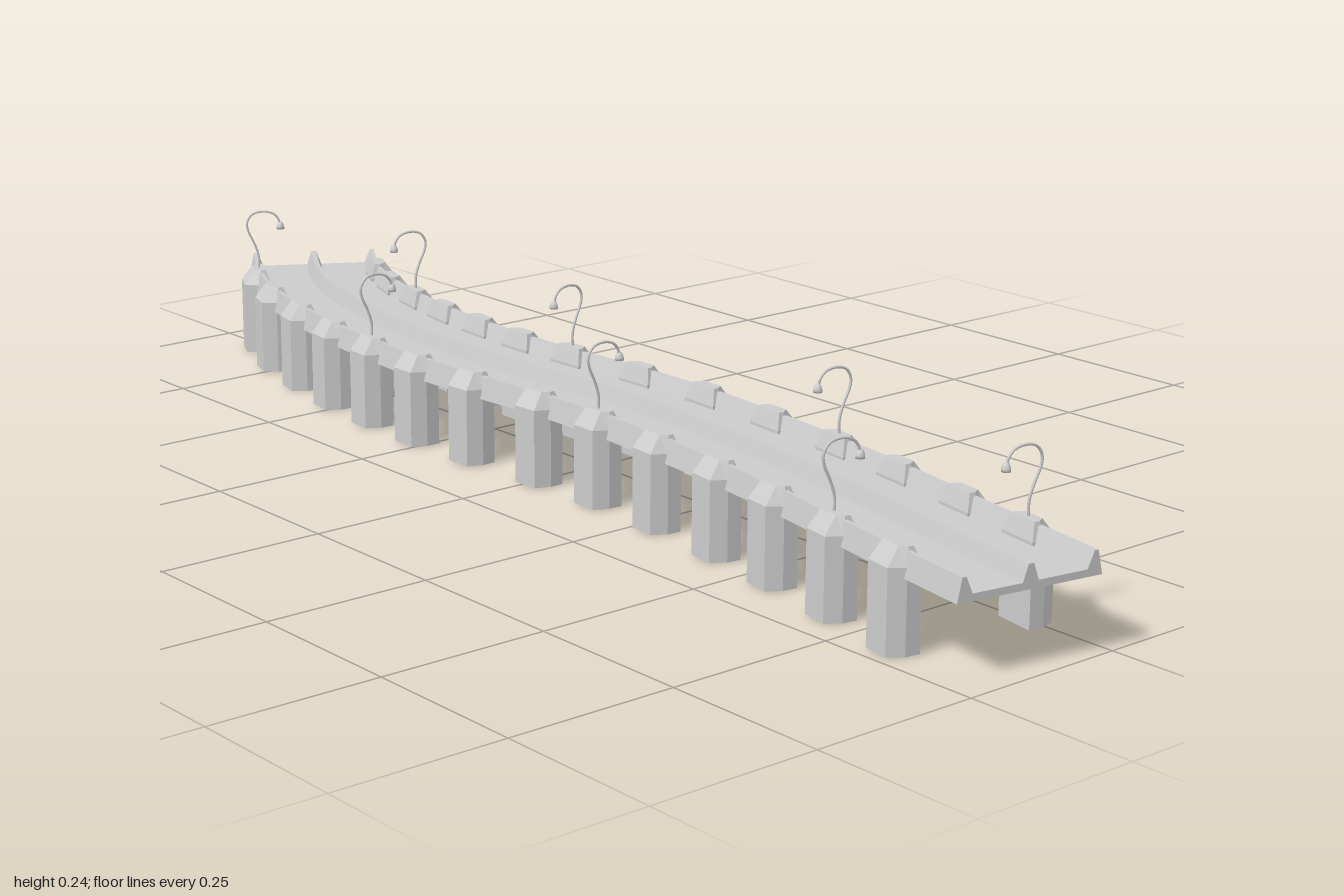
import * as THREE from 'three';

// Centre line from back to front: [x, z]; every inner point carries a pair of piers
const PATH = [
  [0.14, -0.943], [0.08, -0.84], [0.037, -0.735], [0.008, -0.62], [-0.013, -0.505],
  [-0.024, -0.39], [-0.029, -0.273], [-0.025, -0.148], [-0.014, 0], [-0.012, 0.14],
  [-0.021, 0.285], [-0.036, 0.43], [-0.055, 0.565], [-0.08, 0.705], [-0.104, 0.84],
  [-0.126, 0.975],
];
const LAST = PATH.length - 1;
const LEFT_LAMPS = [1, 5, 9, 13]; // on the -x side
const RIGHT_LAMPS = [3, 7, 11, 14]; // on the +x side

const material = (options) => new THREE.MeshStandardMaterial({ color: 0xcccccc, ...options });

// Deck: two channels between three low walls, extruded and bent along the path
function makeDeck(curve, mat) {
  const half = [[0.11, 0.102], [0.103, 0.135], [0.097, 0.135], [0.087, 0.112], [0.012, 0.112], [0.004, 0.135]];
  const mirrored = half.map(([x, y]) => [-x, y]).reverse();
  const shape = new THREE.Shape([...half, ...mirrored].map(([x, y]) => new THREE.Vector2(x, y)));
  const geo = new THREE.ExtrudeGeometry(shape, { depth: 1, steps: 75, bevelEnabled: false });
  const pos = geo.attributes.position;
  for (let i = 0; i < pos.count; i++) {
    const t = THREE.MathUtils.clamp(pos.getZ(i), 0, 1);
    const p = curve.getPoint(t);
    const d = curve.getTangent(t);
    const s = pos.getX(i);
    pos.setXYZ(i, p.x + d.z * s, pos.getY(i), p.z - d.x * s);
  }
  geo.computeVertexNormals();
  const deck = new THREE.Mesh(geo, mat);
  deck.name = 'deck';
  return deck;
}

// Pier: hollow six-sided shaft whose tapered head wraps the outer wall
function makePierGeometry() {
  const ring = (y, inner, mid, outer, wide, narrow) => [
    [inner, y, wide], [mid, y, wide], [outer, y, narrow],
    [outer, y, -narrow], [mid, y, -wide], [inner, y, -wide],
  ];
  const rings = [
    ring(0, 0.084, 0.106, 0.128, 0.032, 0.021),
    ring(0.116, 0.084, 0.106, 0.128, 0.032, 0.021),
    ring(0.14, 0.092, 0.1, 0.11, 0.024, 0.017),
  ];
  const n = 6;
  const index = [];
  for (let r = 0; r < rings.length - 1; r++) {
    for (let i = 0; i < n; i++) {
      const a = r * n + i;
      const b = r * n + ((i + 1) % n);
      index.push(a, b, b + n, a, b + n, a + n);
    }
  }
  const top = (rings.length - 1) * n;
  for (let i = 1; i < n - 1; i++) index.push(top, top + i, top + i + 1);
  const geo = new THREE.BufferGeometry();
  geo.setAttribute('position', new THREE.Float32BufferAttribute(rings.flat(2), 3));
  geo.setIndex(index);
  geo.computeVertexNormals();
  return geo;
}

// Lamp: thin swan-neck post with a small domed head hanging over the deck
function makeLampParts() {
  const neck = new THREE.CatmullRomCurve3([
    [0.101, 0.136], [0.101, 0.16], [0.108, 0.182], [0.117, 0.202], [0.119, 0.216],
    [0.111, 0.23], [0.094, 0.235], [0.075, 0.231], [0.066, 0.221], [0.064, 0.212],
  ].map(([x, y]) => new THREE.Vector3(x, y, 0)));
  const post = new THREE.TubeGeometry(neck, 28, 0.002, 6);
  const head = new THREE.LatheGeometry([
    [0, -0.008], [0.0065, -0.007], [0.0065, -0.003], [0.0045, 0.003], [0, 0.006],
  ].map(([x, y]) => new THREE.Vector2(x, y)), 10);
  head.translate(0.063, 0.211, 0);
  return { post, head };
}

export function createModel() {
  const model = new THREE.Group();
  model.name = 'bridge';
  const flat = material({ flatShading: true });
  const hollow = material({ flatShading: true, side: THREE.DoubleSide });
  const smooth = material();
  const curve = new THREE.CatmullRomCurve3(PATH.map(([x, z]) => new THREE.Vector3(x, 0, z)));

  model.add(makeDeck(curve, flat));

  const pierGeo = makePierGeometry();
  const lampGeo = makeLampParts();
  const addPart = (group, name, geo, mat) => {
    const mesh = new THREE.Mesh(geo, mat);
    mesh.name = name;
    group.add(mesh);
  };

  // Pairs of piers across the deck, some carrying a lamp
  for (let i = 1; i < LAST; i++) {
    const d = curve.getTangent(i / LAST);
    for (const side of [-1, 1]) {
      const support = new THREE.Group();
      support.name = 'support';
      support.position.set(PATH[i][0], 0, PATH[i][1]);
      support.rotation.y = Math.atan2(d.x, d.z);
      support.scale.x = side;
      addPart(support, 'pier', pierGeo, hollow);
      if ((side < 0 ? LEFT_LAMPS : RIGHT_LAMPS).includes(i)) {
        addPart(support, 'lampPost', lampGeo.post, smooth);
        addPart(support, 'lampHead', lampGeo.head, smooth);
      }
      model.add(support);
    }
  }
  return model;
}
